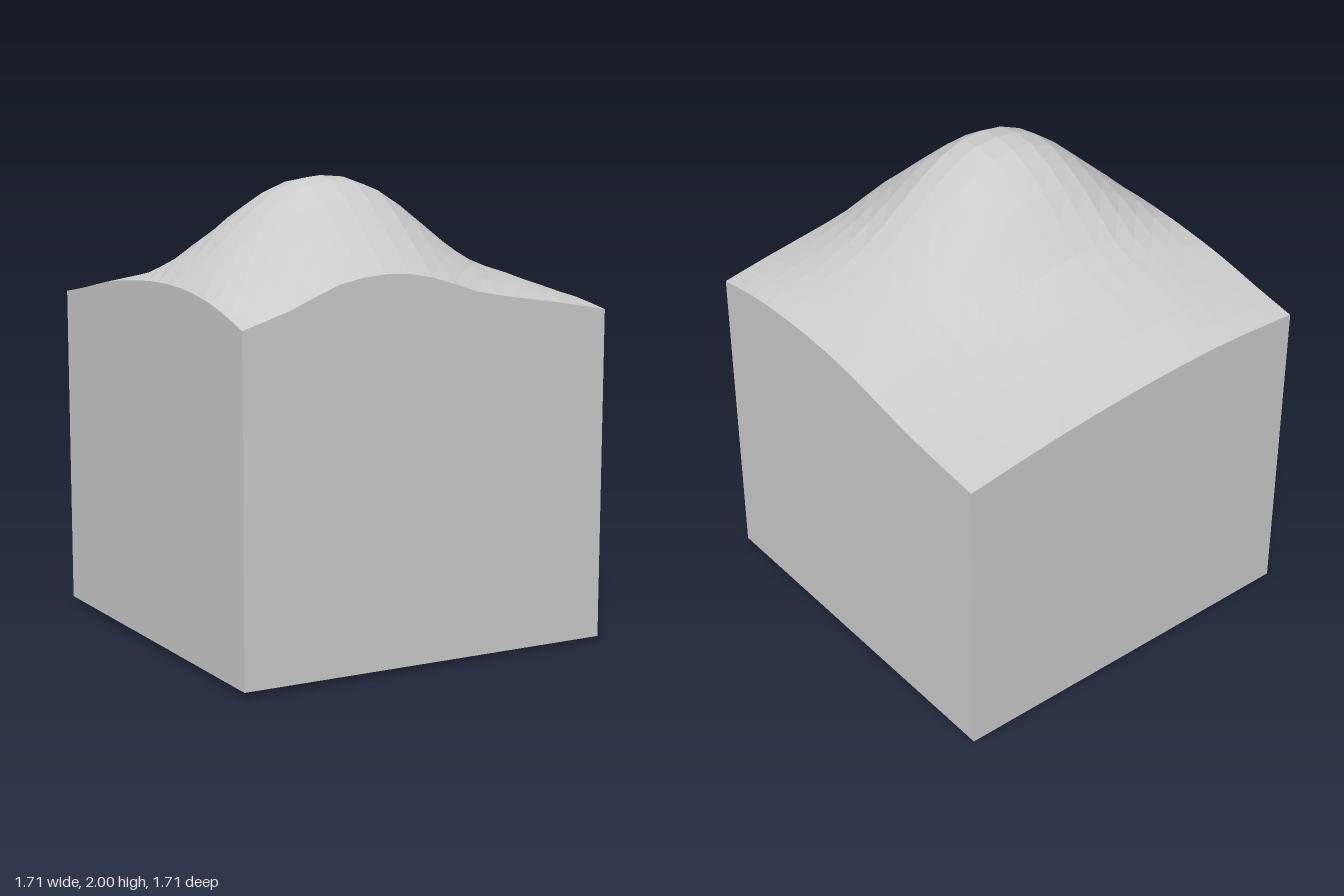
import * as THREE from 'three';

const SIZE = 1.71, CELLS = 16;

// Heights sampled evenly from -x to +x (or from back to front)
const FRONT = [1.465, 1.53, 1.615, 1.645, 1.62, 1.55, 1.51, 1.475, 1.435];
const BACK = [1.43, 1.44, 1.443, 1.435, 1.42, 1.4, 1.375, 1.343, 1.31];
const MINUS_X = [1.43, 1.47, 1.515, 1.545, 1.565, 1.572, 1.56, 1.525, 1.465];
const PLUS_X = [1.31, 1.335, 1.365, 1.41, 1.45, 1.47, 1.475, 1.465, 1.435];
const RIDGE_X = [1.57, 1.77, 1.94, 2.0, 1.95, 1.8, 1.64, 1.56, 1.475];
const RIDGE_Z = [1.437, 1.51, 1.57, 1.66, 1.86, 1.985, 1.985, 1.83, 1.645];
const PEAK_U = 6 / 16, PEAK_V = 11 / 16;

const { lerp, clamp } = THREE.MathUtils;

// Smooth curve through evenly spaced heights, t in 0..1
function sample(h, t) {
  const f = t * (h.length - 1);
  const i = clamp(Math.floor(f), 0, h.length - 2), k = f - i;
  const a = h[i], b = h[i + 1];
  const p = i > 0 ? h[i - 1] : 2 * a - b;
  const n = i + 2 < h.length ? h[i + 2] : 2 * b - a;
  return a + 0.5 * k * (b - p + k * (2 * p - 5 * a + 4 * b - n + k * (3 * (a - b) + n - p)));
}

// Gentle ground blended between the four rim curves
function ground(u, v) {
  const across = lerp(sample(MINUS_X, v), sample(PLUS_X, v), u);
  const along = lerp(sample(BACK, u), sample(FRONT, u), v);
  const corners = lerp(lerp(BACK[0], BACK[8], u), lerp(FRONT[0], FRONT[8], u), v);
  return across + along - corners;
}

// Ground plus the hill, whose two ridge lines cross at the peak
function height(u, v) {
  const hillX = sample(RIDGE_X, u) - ground(u, PEAK_V);
  const hillZ = sample(RIDGE_Z, v) - ground(PEAK_U, v);
  const top = 2 - ground(PEAK_U, PEAK_V);
  return Math.min(2, ground(u, v) + hillX * hillZ / top);
}

export function createModel() {
  const group = new THREE.Group();
  group.name = 'terrainBlock';

  // Gridded block: top follows the hill, underside is slightly tilted
  const box = new THREE.BoxGeometry(SIZE, 1, SIZE, CELLS, 1, CELLS);
  const pos = box.attributes.position;
  for (let i = 0; i < pos.count; i++) {
    const x = pos.getX(i), z = pos.getZ(i);
    const u = clamp(x / SIZE + 0.5, 0, 1), v = clamp(z / SIZE + 0.5, 0, 1);
    pos.setY(i, pos.getY(i) > 0 ? height(u, v) : 0.0154 * (v + 1 - u));
  }
  const geometry = box.toNonIndexed();
  geometry.computeVertexNormals();

  const material = new THREE.MeshStandardMaterial({ color: 0xcccccc, flatShading: true });
  const block = new THREE.Mesh(geometry, material);
  block.name = 'hillBlock';
  group.add(block);
  return group;
}
